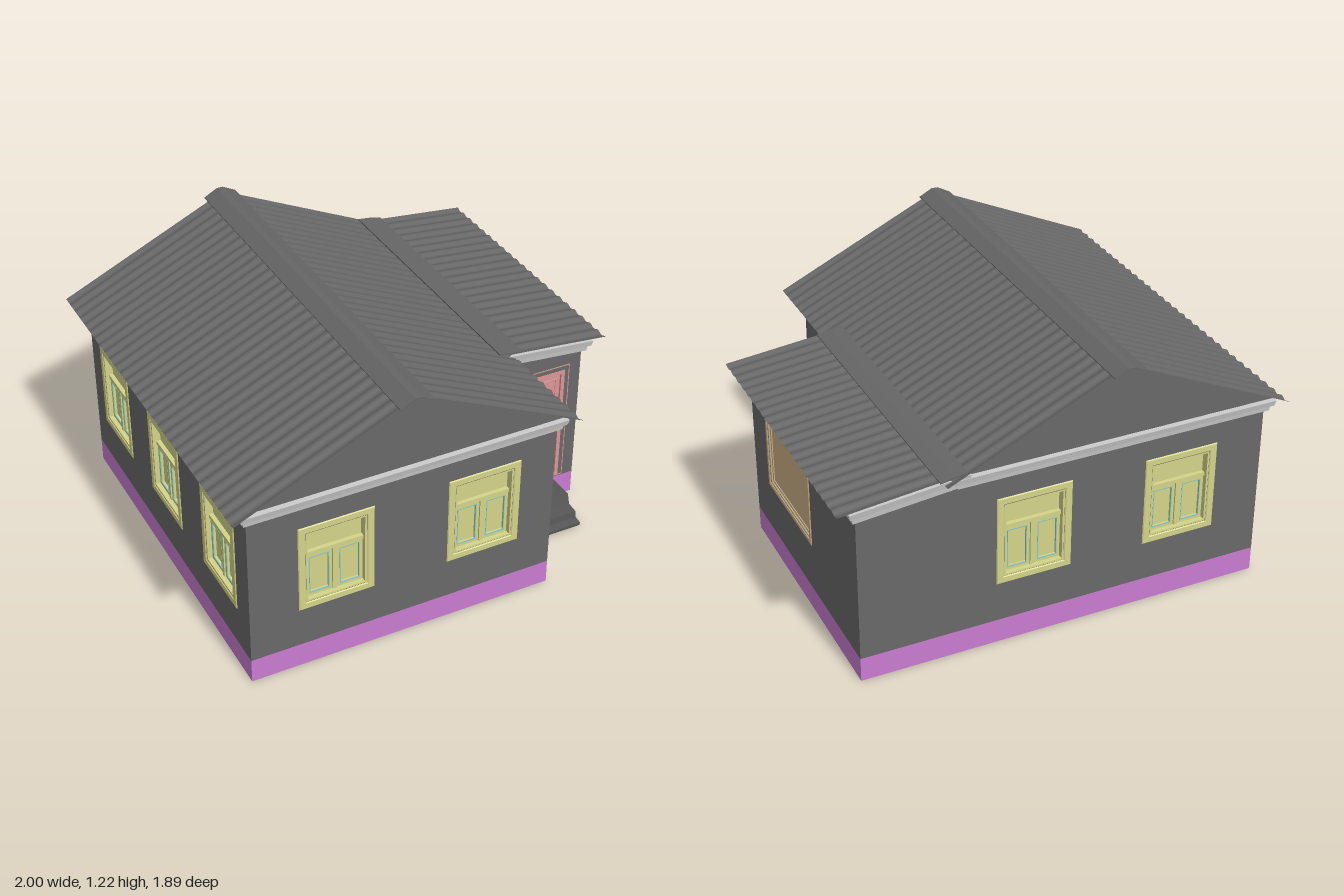
import * as THREE from 'three';

const mat = (color) => new THREE.MeshStandardMaterial({ color, side: THREE.DoubleSide });
const grey = mat(0xcccccc), wallGrey = mat(0x696969), roofGrey = mat(0x666666), stepGrey = mat(0x565656);
const purple = mat(0xc87ccf), yellow = mat(0xd4d48a), pink = mat(0xdc9696);
const tan = mat(0xcbb286), cyan = mat(0x7fc8d0);

function add(parent, name, geometry, material) {
  const m = new THREE.Mesh(geometry, material);
  m.name = name;
  parent.add(m);
  return m;
}

const poly = (pts) => new THREE.Shape(pts.map(([x, y]) => new THREE.Vector2(x, y)));
const rect = (x0, y0, x1, y1) => poly([[x0, y0], [x1, y0], [x1, y1], [x0, y1]]);

// Prism of an xy profile running from z0 to z1
function prism(pts, z0, z1, holes = []) {
  const s = poly(pts);
  s.holes = holes;
  return new THREE.ExtrudeGeometry(s, { depth: z1 - z0, bevelEnabled: false }).translate(0, 0, z0);
}

function box(x0, x1, y0, y1, z0, z1) {
  return new THREE.BoxGeometry(x1 - x0, y1 - y0, z1 - z0)
    .translate((x0 + x1) / 2, (y0 + y1) / 2, (z0 + z1) / 2);
}

// Rectangular border, bevelled when asked, centred on the origin
function border(w, h, t, depth, bevel = 0) {
  const s = rect(-w / 2, -h / 2, w / 2, h / 2);
  s.holes = [rect(-w / 2 + t, -h / 2 + t, w / 2 - t, h / 2 - t)];
  return new THREE.ExtrudeGeometry(s, {
    depth, bevelEnabled: bevel > 0, bevelSize: bevel, bevelThickness: bevel,
    bevelOffset: -bevel, bevelSegments: 1,
  });
}

// Move every vertex by a rule
function bend(geometry, rule) {
  const p = geometry.attributes.position, v = new THREE.Vector3();
  for (let i = 0; i < p.count; i++) {
    v.fromBufferAttribute(p, i);
    rule(v);
    p.setXYZ(i, v.x, v.y, v.z);
  }
  geometry.computeVertexNormals();
  return geometry;
}

// Corrugated sheet sloping from (x0,y0) to (x1,y1), waves running along z
function sheet(x0, y0, x1, y1, z0, z1) {
  const waves = Math.round((z1 - z0) / 0.061);
  const slope = (y1 - y0) / (x1 - x0), len = Math.hypot(1, slope);
  const g = new THREE.PlaneGeometry(1, 1, 6, waves * 10).rotateX(-Math.PI / 2);
  return bend(g, (v) => {
    const u = v.x + 0.5, t = v.z + 0.5;
    const w = 0.0045 * Math.cos(t * waves * Math.PI * 2);
    v.set(x0 + (x1 - x0) * u - w * slope / len, y0 + (y1 - y0) * u + w / len, z0 + (z1 - z0) * t);
  });
}

// Slab widening from overhang `lo` at its bottom to `hi` at its top
function flared(x0, x1, z0, z1, y0, y1, lo, hi, slope = 0) {
  const mid = (y0 + y1) / 2, cx = (x0 + x1) / 2, cz = (z0 + z1) / 2;
  return bend(box(x0, x1, y0, y1, z0, z1), (v) => {
    const o = v.y > mid ? hi : lo;
    v.x += Math.sign(v.x - cx) * o;
    v.z += Math.sign(v.z - cz) * o;
    v.y += slope * (v.x - 0.47);
  });
}

// Two-light window with a fanlight, facing +z, recessed into its opening
function makeWindow() {
  const g = new THREE.Group();
  g.name = 'window';
  add(g, 'windowCasing', border(0.35, 0.425, 0.045, 0.005, 0.01).translate(0, 0, -0.011), yellow);
  add(g, 'windowReveal', border(0.27, 0.345, 0.008, 0.035).translate(0, 0, -0.035), yellow);
  add(g, 'windowPane', box(-0.135, 0.135, -0.172, 0.172, -0.045, -0.035), yellow);
  add(g, 'transomBar', box(-0.13, 0.13, 0.045, 0.062, -0.036, -0.016), yellow);
  add(g, 'mullion', box(-0.009, 0.009, -0.165, 0.05, -0.036, -0.016), yellow);
  for (const s of [-1, 1]) {
    add(g, 'sash', border(0.115, 0.208, 0.014, 0.014).translate(s * 0.068, -0.06, -0.035), yellow);
    add(g, 'sashSeal', border(0.089, 0.182, 0.004, 0.004).translate(s * 0.068, -0.06, -0.024), cyan);
  }
  return g;
}

export function createModel() {
  const house = new THREE.Group();
  house.name = 'house';

  // L-shaped base: open skirt and floor (plan y is -z)
  const plan = (i) => [[-0.92 + i, -0.86 + i], [0.47 - i, -0.86 + i], [0.47 - i, -0.36 + i],
    [0.91 - i, -0.36 + i], [0.91 - i, 0.85 - i], [-0.92 + i, 0.85 - i]];
  add(house, 'foundation', prism(plan(0), 0, 0.11, [poly(plan(0.006))]).rotateX(-Math.PI / 2), purple);
  add(house, 'floor', prism(plan(0.002), 0.106, 0.115).rotateX(-Math.PI / 2), purple);

  // Walls with window openings; outline in local x and world y
  const winY = 0.497;
  function wall(name, outline, turn, x, z, windows = [], holes = []) {
    const g = new THREE.Group();
    g.name = name;
    g.rotation.y = turn;
    g.position.set(x, 0, z);
    const cuts = windows.map((c) => rect(c - 0.135, winY - 0.172, c + 0.135, winY + 0.172));
    add(g, name + 'Panel', prism(outline, -0.05, 0, [...cuts, ...holes]), wallGrey);
    for (const c of windows) {
      const w = makeWindow();
      w.position.set(c, winY, 0);
      g.add(w);
    }
    house.add(g);
    return g;
  }
  const b = 0.11, top = 0.84, q = Math.PI / 2;
  wall('frontWall', [[-0.92, b], [0.47, b], [0.47, top], [-0.92, top]], 0, 0, 0.86, [-0.535, 0.14]);
  wall('backWall', [[-0.91, b], [0.92, b], [0.92, top], [-0.47, top], [-0.91, 0.8]], Math.PI, 0, -0.85, [-0.14, 0.535]);
  wall('leftWall', [[-0.85, b], [0.86, b], [0.86, top], [-0.85, top]], -q, -0.92, 0, [-0.57, 0, 0.57]);
  wall('innerSideWall', [[-0.86, b], [-0.36, b], [-0.36, top], [-0.86, top]], q, 0.47, 0);
  const side = wall('porchSideWall', [[-0.36, b], [0.85, b], [0.85, 0.8], [-0.36, 0.8]], q, 0.91, 0,
    [], [rect(-0.16, 0.36, 0.31, 0.68)]);
  const entry = wall('porchFrontWall', [[0.47, b], [0.91, b], [0.91, 0.8], [0.47, top]], 0, 0, 0.36,
    [], [rect(0.545, 0.115, 0.83, 0.69)]);

  // Wide side window
  add(side, 'wideWindowCasing', border(0.53, 0.38, 0.032, 0.003, 0.008).translate(0.075, 0.52, -0.007), tan);
  add(side, 'wideWindowBead', border(0.47, 0.32, 0.01, 0.008).translate(0.075, 0.52, -0.018), tan);
  add(side, 'wideWindowPane', box(-0.16, 0.31, 0.36, 0.68, -0.025, -0.014), tan);

  // Entrance door
  add(entry, 'doorSurround', border(0.33, 0.6, 0.004, 0.002).translate(0.69, 0.415, 0), pink);
  add(entry, 'doorFrame', border(0.29, 0.575, 0.018, 0.032).translate(0.6875, 0.4025, -0.03), pink);
  add(entry, 'doorLeaf', box(0.555, 0.82, 0.125, 0.68, -0.025, -0.008), pink);
  add(entry, 'doorMoulding', border(0.215, 0.49, 0.007, 0.002, 0.001).translate(0.69, 0.405, -0.008), pink);
  add(entry, 'letterSlot', box(0.572, 0.685, 0.461, 0.469, -0.008, -0.002), pink);
  add(entry, 'lockPlate', box(0.55, 0.572, 0.365, 0.41, -0.008, 0.002), pink);
  add(entry, 'doorHandle', box(0.553, 0.595, 0.387, 0.394, 0.002, 0.008), pink);

  // Entrance steps, profile in z and y
  const steps = [[0.36, 0], [0.6, 0], [0.6, 0.015], [0.565, 0.02], [0.56, 0.05],
    [0.505, 0.055], [0.49, 0.1], [0.36, 0.1]].map(([z, y]) => [-z, y]);
  add(house, 'steps', prism(steps, 0.47, 0.81).rotateY(q), stepGrey);

  // Stepped cornices under the main and porch roofs
  add(house, 'lowerCornice', flared(-0.92, 0.47, -0.85, 0.86, 0.808, 0.835, 0.016, 0.02), grey);
  add(house, 'upperCornice', flared(-0.92, 0.47, -0.85, 0.86, 0.835, 0.86, 0.03, 0.036), grey);
  add(house, 'porchLowerCornice', flared(0.47, 0.91, -0.85, 0.36, 0.815, 0.845, 0.016, 0.02, -0.095), grey);
  add(house, 'porchUpperCornice', flared(0.47, 0.91, -0.85, 0.36, 0.845, 0.872, 0.03, 0.036, -0.095), grey);

  // Attic gables, and the wedge filling the porch roof
  add(house, 'gables', prism([[-0.95, 0.86], [0.5, 0.86], [0.5, 0.875], [-0.22, 1.206], [-0.95, 0.874]],
    -0.86, 0.87), wallGrey);
  add(house, 'porchGable', prism([[0.47, 0.86], [0.94, 0.82], [0.94, 0.838], [0.47, 0.884]], -0.87, 0.38), wallGrey);

  // Corrugated roofs, ridge cap and porch flashing
  add(house, 'leftRoof', sheet(-0.998, 0.857, -0.22, 1.212, -0.92, 0.925), roofGrey);
  add(house, 'rightRoof', sheet(-0.22, 1.212, 0.55, 0.857, -0.92, 0.925), roofGrey);
  add(house, 'porchRoof', sheet(0.48, 0.89, 0.999, 0.837, -0.9, 0.41), roofGrey);
  add(house, 'ridgeCap', prism([[-0.3, 1.186], [-0.235, 1.214], [-0.21, 1.214], [-0.148, 1.188],
    [-0.148, 1.192], [-0.208, 1.223], [-0.238, 1.223], [-0.3, 1.19]], -0.95, 0.94), roofGrey);
  add(house, 'porchFlashing', prism([[0.462, 0.9], [0.52, 0.893], [0.578, 0.883], [0.578, 0.888],
    [0.52, 0.9], [0.462, 0.907]], -0.91, 0.41), roofGrey);
  return house;
}
